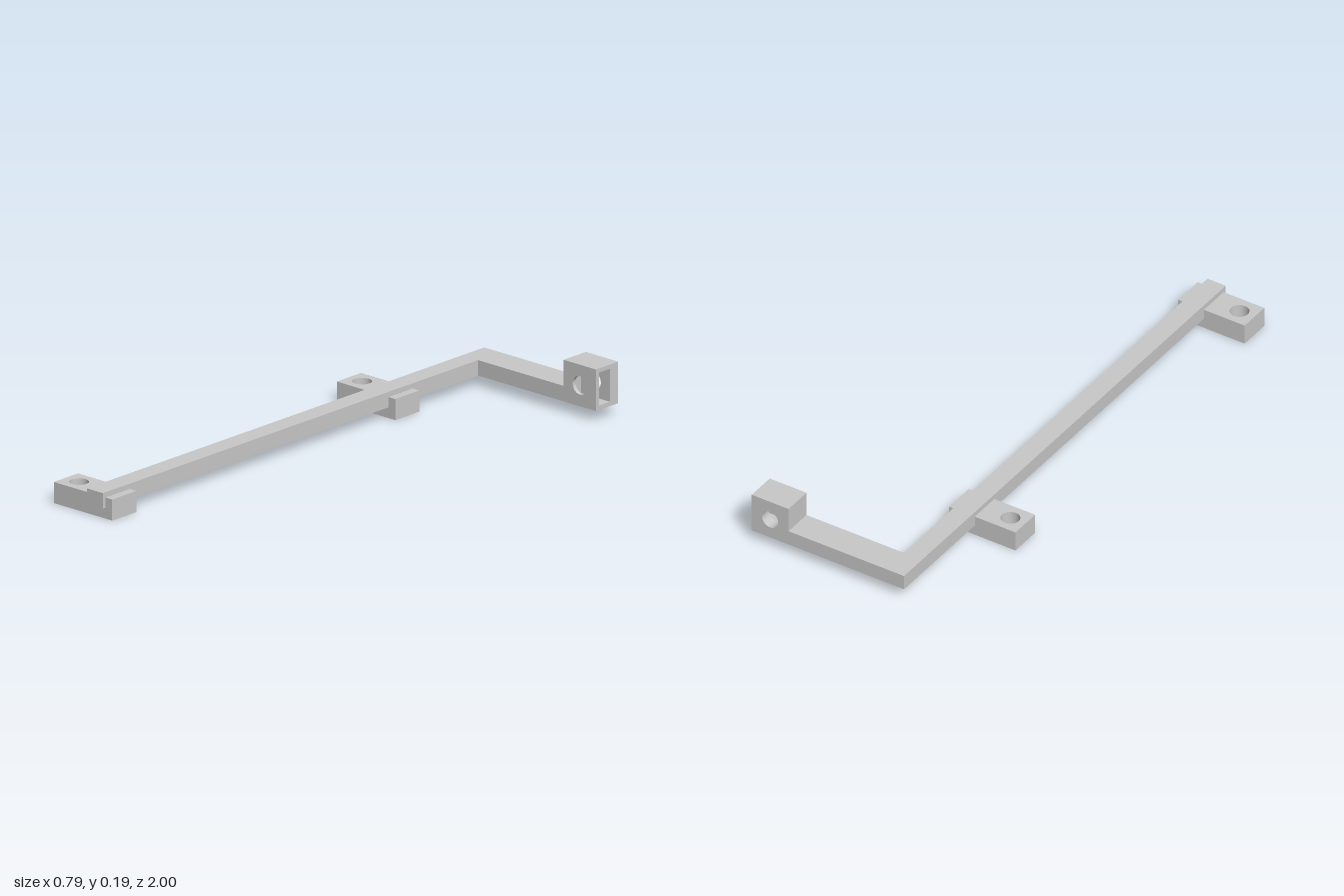
import * as THREE from 'three';

const gray = new THREE.MeshStandardMaterial({ color: 0xc8c8c8 });
gray.name = 'light gray';

function polygon(points) {
  return new THREE.Shape(points.map(([x, y]) => new THREE.Vector2(x, y)));
}

function addHole(shape, x, y, r) {
  shape.holes.push(new THREE.Path().absarc(x, y, r, 0, Math.PI * 2, true));
}

function extrude(shape, depth) {
  return new THREE.ExtrudeGeometry(shape, { depth, bevelEnabled: false, curveSegments: 32 });
}

function addMesh(parent, geometry, name) {
  const mesh = new THREE.Mesh(geometry, gray);
  mesh.name = name;
  parent.add(mesh);
  return mesh;
}

export function createModel() {
  const model = new THREE.Group();
  model.name = 'mountingArm';

  // long rail, meeting the cross arm at the back
  const rail = addMesh(model, new THREE.BoxGeometry(0.074, 0.056, 1.888), 'rail');
  rail.position.set(-0.191, 0.067, 0.056);

  // cross arm with end block, layered front to back around the nut pocket
  const arm = new THREE.Group();
  arm.name = 'crossArm';
  model.add(arm);
  const head = [[-0.228, 0.039], [0.393, 0.039]];
  const tail = [[0.393, 0.189], [0.243, 0.189], [0.243, 0.095], [-0.228, 0.095]];
  const pocket = [[0.393, 0.055], [0.26, 0.055], [0.26, 0.174], [0.393, 0.174]];
  const layers = [
    ['armBackWall', -1, -0.958, false],
    ['armPocketLayer', -0.958, -0.902, true],
    ['armFrontWall', -0.902, -0.888, false],
  ];
  for (const [name, z0, z1, open] of layers) {
    const shape = polygon(open ? [...head, ...pocket, ...tail] : [...head, ...tail]);
    if (!open) addHole(shape, 0.318, 0.114, 0.033);
    addMesh(arm, extrude(shape, z1 - z0), name).position.z = z0;
  }

  // two mounting feet under the rail, each with a vertical screw hole
  for (const [name, z] of [['rearFoot', -0.499], ['frontFoot', 0.926]]) {
    const shape = polygon([[-0.394, -0.061], [-0.123, -0.061], [-0.123, 0.061], [-0.394, 0.061]]);
    addHole(shape, -0.333, 0, 0.034);
    const geometry = extrude(shape, 0.076).rotateX(-Math.PI / 2);
    addMesh(model, geometry, name).position.z = z;
  }

  return model;
}
